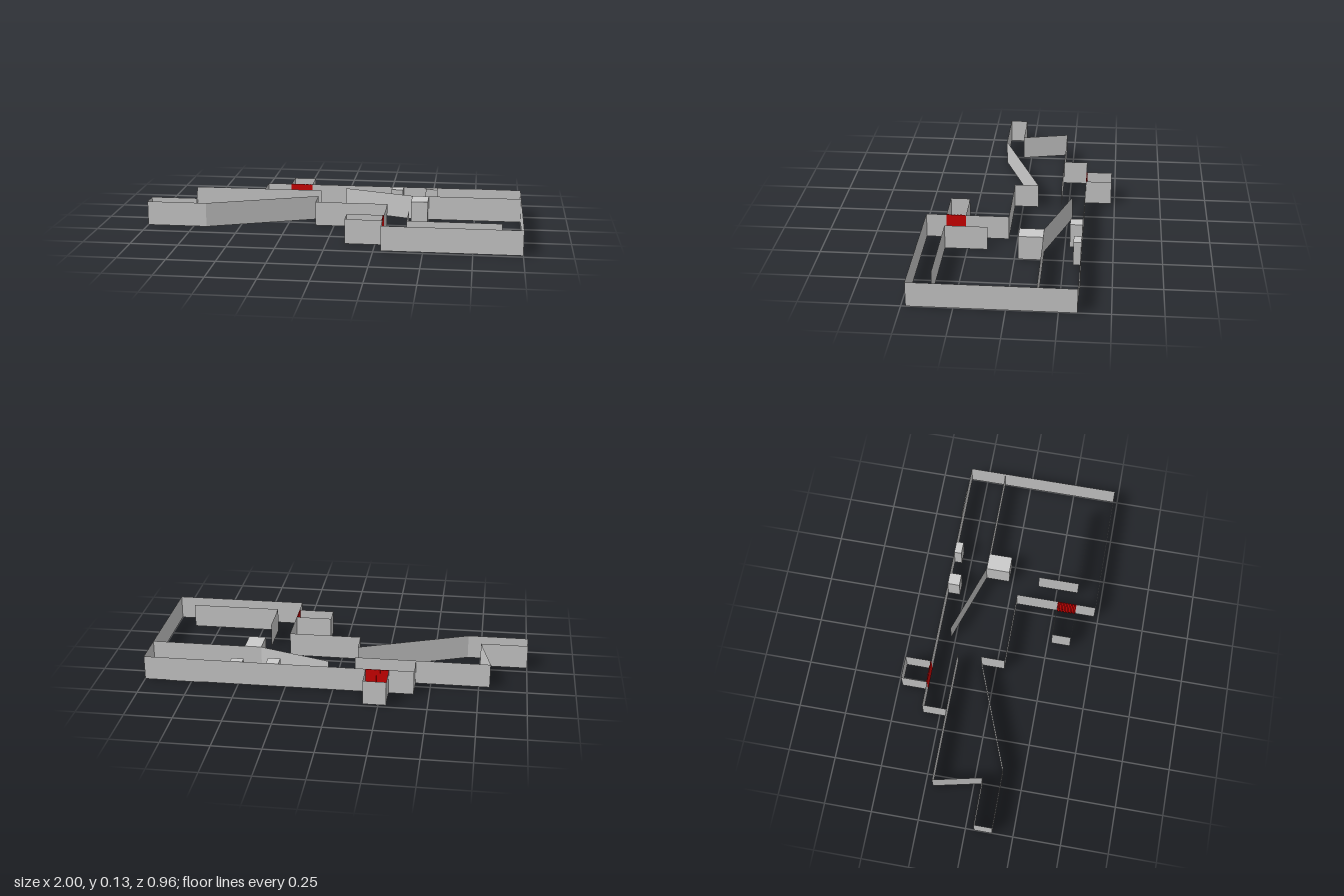
import * as THREE from 'three';

const H = 0.13;

export function createModel() {
  const model = new THREE.Group();
  const grey = new THREE.MeshStandardMaterial({ color: 0xcccccc, side: THREE.DoubleSide, flatShading: true });
  const red = new THREE.MeshStandardMaterial({ color: 0xd00000, side: THREE.DoubleSide, flatShading: true });

  // Paper-thin upright wall following [x, z] points
  function wall(name, points, material = grey) {
    const positions = [];
    for (let i = 0; i < points.length - 1; i++) {
      const [ax, az] = points[i], [bx, bz] = points[i + 1];
      positions.push(ax, 0, az, bx, 0, bz, bx, H, bz, ax, 0, az, bx, H, bz, ax, H, az);
    }
    const geometry = new THREE.BufferGeometry();
    geometry.setAttribute('position', new THREE.Float32BufferAttribute(positions, 3));
    geometry.computeVertexNormals();
    const mesh = new THREE.Mesh(geometry, material);
    mesh.name = name;
    model.add(mesh);
  }

  // Solid full-height block between two plan corners
  function block(name, x0, z0, x1, z1, material = grey, parent = model) {
    const mesh = new THREE.Mesh(new THREE.BoxGeometry(x1 - x0, H, z1 - z0), material);
    mesh.position.set((x0 + x1) / 2, H / 2, (z0 + z1) / 2);
    mesh.name = name;
    parent.add(mesh);
  }

  // Outer walls, broken at the two doors
  wall('outerWallBackLeft', [[-0.17, -0.34], [1, -0.34], [1, 0.477], [0.287, 0.477], [0.287, 0.372]]);
  wall('outerWallFront', [[0.287, 0.27], [0.287, 0.045], [-0.1, 0.045], [-0.1, -0.083], [-0.68, 0.14],
    [-1, 0.14], [-1, 0.045], [-0.75, 0.045], [-0.807, -0.21], [-0.1, -0.21]]);
  wall('outerWallBackRight', [[-0.42, -0.21], [-0.42, -0.34], [-0.29, -0.34]]);
  wall('backWallPanel', [[0.7, -0.344], [0.865, -0.344]]);

  // Alcoves behind the doors
  wall('backAlcove', [[-0.29, -0.34], [-0.29, -0.48], [-0.17, -0.48], [-0.17, -0.34]]);
  wall('frontAlcove', [[0.287, 0.27], [0.093, 0.27], [0.093, 0.372], [0.287, 0.372]]);

  // Inner partitions
  wall('slantedPartition', [[0.03, -0.275], [0.41, -0.147], [1, -0.147]]);
  wall('cornerPartition', [[0.41, 0.145], [0.41, 0.366], [0.895, 0.366]]);

  // Solid blocks against the walls
  block('wallBlockLarge', 0.285, -0.34, 0.35, -0.275);
  block('wallBlockSmall', 0.475, -0.34, 0.54, -0.3);
  block('partitionBlock', 0.41, -0.147, 0.5, -0.02);

  // Red doors: flat inside, ribbed towards the alcove
  wall('backDoor', [[-0.29, -0.34], [-0.17, -0.34]], red);
  wall('frontDoor', [[0.287, 0.27], [0.287, 0.372]], red);
  const ribs = new THREE.Group();
  ribs.name = 'doorRibs';
  model.add(ribs);
  for (let i = 0; i < 6; i++) {
    const x = -0.286 + i * 0.02, z = 0.274 + i * 0.017;
    block('backDoorRib', x, -0.345, x + 0.012, -0.34, red, ribs);
    block('frontDoorRib', 0.282, z, 0.287, z + 0.01, red, ribs);
  }
  return model;
}
